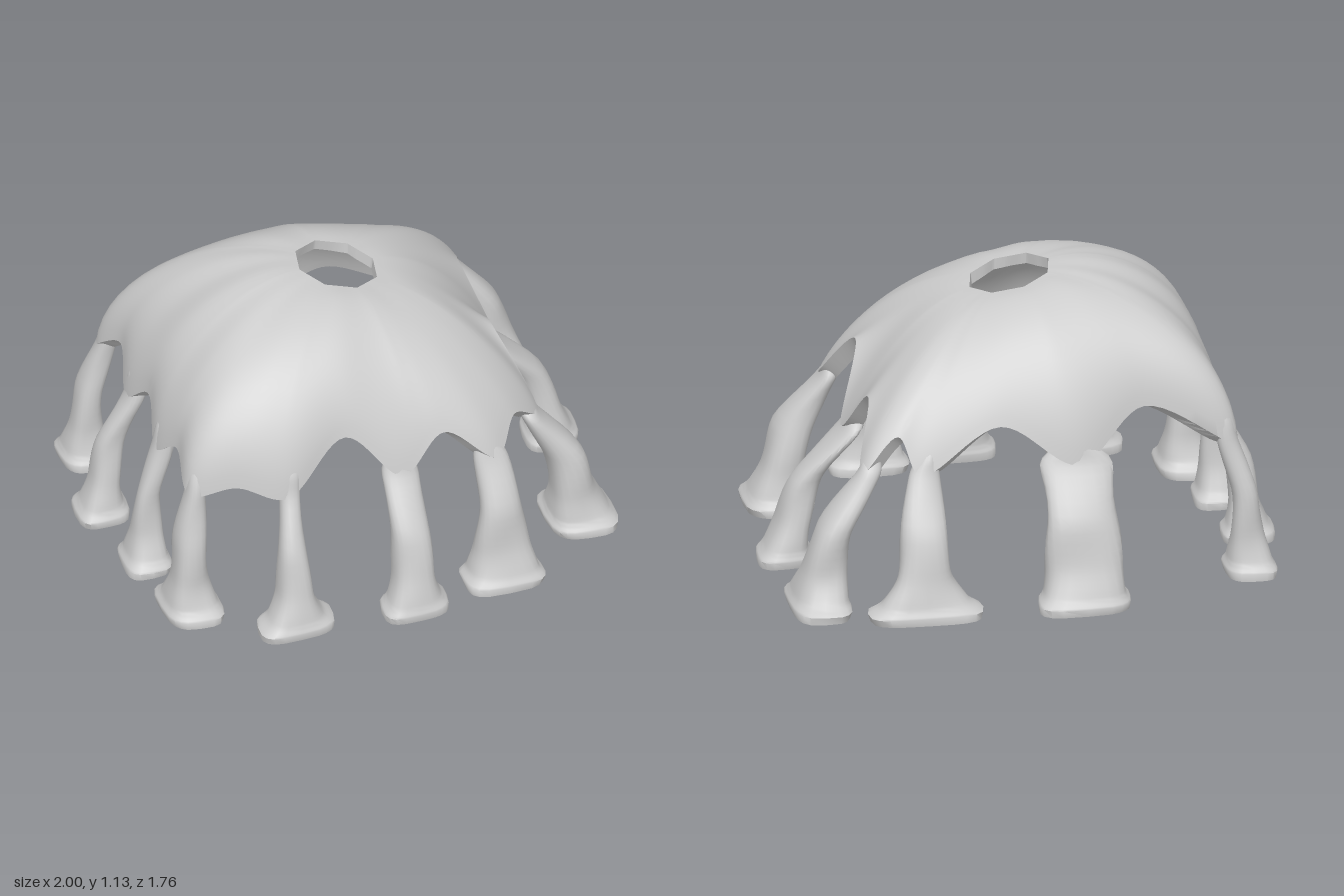
import * as THREE from 'three';
import { toCreasedNormals } from 'three/addons/utils/BufferGeometryUtils.js';

const V = (x, y, z) => new THREE.Vector3(x, y, z);
const { clamp, lerp } = THREE.MathUtils;
const material = new THREE.MeshStandardMaterial({ color: 0xcccccc });

// Foot centre and half sizes, half sizes at mid height; the joint lies on the
// squarish dome plan straight above the foot
function makeLeg(x, z, footW, footD, midW, midD, archHeight) {
  const joint = V(clamp(x, -0.8, 0.67), 0.54, clamp(z, -0.66, 0.64));
  return { joint, foot: V(x, 0, z), footSize: V(footW, 0, footD), midSize: V(midW, 0, midD), archHeight };
}

// Legs in order round the dome: front, left side, back, right side.
// The last value is the height of the arch that follows the leg.
const LEGS = [
  makeLeg(0.05, 0.77, 0.13, 0.1, 0.07, 0.065, 0.68),
  makeLeg(0.43, 0.7, 0.17, 0.1, 0.085, 0.06, 0.63),
  makeLeg(0.83, 0.41, 0.13, 0.17, 0.075, 0.095, 0.79),
  makeLeg(0.89, -0.12, 0.11, 0.12, 0.055, 0.08, 0.74),
  makeLeg(0.84, -0.61, 0.12, 0.18, 0.07, 0.09, 0.68),
  makeLeg(0.45, -0.78, 0.21, 0.1, 0.085, 0.055, 0.7),
  makeLeg(-0.17, -0.77, 0.19, 0.11, 0.135, 0.06, 0.72),
  makeLeg(-0.85, -0.54, 0.1, 0.11, 0.05, 0.06, 0.66),
  makeLeg(-0.9, -0.19, 0.1, 0.12, 0.05, 0.05, 0.66),
  makeLeg(-0.84, 0.17, 0.1, 0.11, 0.045, 0.042, 0.64),
  makeLeg(-0.77, 0.5, 0.11, 0.15, 0.06, 0.07, 0.59),
  makeLeg(-0.42, 0.74, 0.15, 0.1, 0.05, 0.06, 0.73),
];

// Skin a list of closed loops with equal point counts
function skin(rings, closed) {
  const n = rings[0].length, index = [];
  const last = closed ? rings.length : rings.length - 1;
  for (let i = 0; i < last; i++) {
    const a = i * n, b = ((i + 1) % rings.length) * n;
    for (let j = 0; j < n; j++) {
      const k = (j + 1) % n;
      index.push(a + j, a + k, b + j, a + k, b + k, b + j);
    }
  }
  const geometry = new THREE.BufferGeometry().setFromPoints(rings.flat());
  geometry.setIndex(index);
  return toCreasedNormals(geometry, 0.9);
}

// Rim: dips at each leg joint, rises inward at each arch
function rimCurve() {
  const points = LEGS.flatMap(({ joint, archHeight }, i) => {
    const next = LEGS[(i + 1) % LEGS.length].joint;
    const arch = joint.clone().lerp(next, 0.5).multiplyScalar(0.94 - (archHeight - 0.68) * 0.8);
    return [joint, arch.setY(archHeight)];
  });
  return new THREE.CatmullRomCurve3(points, true, 'centripetal');
}

// Dome section from the octagonal crown hole to a rim point R;
// returns a function giving the point at t, sunk below the outer face by depth
function meridian(R) {
  const centreZ = -0.03;
  const reach = Math.hypot(R.x, R.z - centreZ);
  const ux = R.x / reach, uz = (R.z - centreZ) / reach;
  const sector = Math.PI / 4, a = Math.atan2(uz, ux) + Math.PI * 2 + 0.2;
  const hole = 0.15 / Math.cos((a % sector) - sector / 2);
  const holeY = 1.09 - 0.22 * ux * hole;
  const droop = reach - hole - 0.5;
  const profile = new THREE.CubicBezierCurve(
    new THREE.Vector2(hole, holeY),
    new THREE.Vector2(lerp(hole, reach, 0.42), holeY + 0.015 - 0.045 * ux - 0.1 * droop),
    new THREE.Vector2(reach - 0.06 - 0.04 * ux, lerp(R.y, 0.68, 0.75) + 0.22 - 0.1 * ux - 0.2 * droop),
    new THREE.Vector2(reach, R.y));
  return (t, depth) => {
    const p = profile.getPoint(t), d = profile.getTangent(t);
    const r = p.x + d.y * depth;
    return V(r * ux, p.y - d.x * depth, centreZ + r * uz);
  };
}

// Shell of outer and inner faces joined at hole and rim
function domeGeometry() {
  const steps = 16, count = 240, rim = rimCurve(), rings = [];
  for (let i = 0; i < count; i++) {
    const at = meridian(rim.getPoint(i / count));
    const outer = [], inner = [];
    for (let j = 0; j <= steps; j++) {
      const t = j / steps;
      outer.push(at(t, 0));
      inner.unshift(at(t, 0.045 + 0.025 * t));
    }
    rings.push([...outer, ...inner]);
  }
  return skin(rings, true);
}

// Leg: grows out of the shell, gently lumpy, flaring into a flat squarish foot
function legGeometry({ joint, foot, footSize, midSize }, seed) {
  const at = meridian(joint);
  const out = joint.clone().setY(0).normalize();
  // at the joint the leg is thin radially and wide along the rim
  const along = 1.1 * (Math.abs(out.x) > Math.abs(out.z) ? midSize.z : midSize.x);
  const jointSize = V(Math.max(0.04, along * out.z ** 2), 0, Math.max(0.04, along * out.x ** 2));
  const centre = (t, y) => joint.clone().lerp(foot, t).setY(y);
  const flare = (t) => midSize.clone().lerp(footSize, t);
  const keys = [
    [at(0.78, 0.035), V(0.015, 0, 0.015)],
    [at(0.9, 0.035), V(0.035, 0, 0.035)],
    [at(1, 0.035), jointSize],
    [centre(0.6, 0.34), midSize],
    [centre(0.85, 0.17), flare(0.2)],
    [centre(0.97, 0.07), flare(0.6)],
    [centre(1, 0.03), footSize],
  ];
  const path = new THREE.CatmullRomCurve3(keys.map((k) => k[0]), false, 'catmullrom', 0.4);
  const size = new THREE.CatmullRomCurve3(keys.map((k) => k[1]), false, 'catmullrom', 0.3);
  const sides = 20, rows = 30, rings = [];
  const loop = (c, s, square, scale = 1) => Array.from({ length: sides }, (_, j) => {
    const a = (j / sides) * Math.PI * 2;
    const lump = scale * (1 + 0.07 * Math.sin(seed * 2.3 + 2 * a + c.y * 17));
    const bend = (v) => Math.sign(v) * Math.abs(v) ** square * lump;
    return V(c.x + s.x * bend(Math.cos(a)), c.y, c.z + s.z * bend(Math.sin(a)));
  });
  for (let i = 0; i <= rows; i++) {
    const t = i / rows;
    rings.push(loop(path.getPoint(t), size.getPoint(t), lerp(1, 0.6, t)));
  }
  // flat sole and closed ends
  rings.push(loop(foot, footSize, 0.6, 0.96), loop(foot, footSize, 0.6, 0.001));
  rings.unshift(loop(...keys[0], 1, 0.001));
  return skin(rings, false);
}

export function createModel() {
  const model = new THREE.Group();
  model.name = 'leggedDome';
  const dome = new THREE.Mesh(domeGeometry(), material);
  dome.name = 'domeShell';
  model.add(dome);
  LEGS.forEach((leg, i) => {
    const mesh = new THREE.Mesh(legGeometry(leg, i + 1), material);
    mesh.name = `leg${i + 1}`;
    model.add(mesh);
  });
  return model;
}
